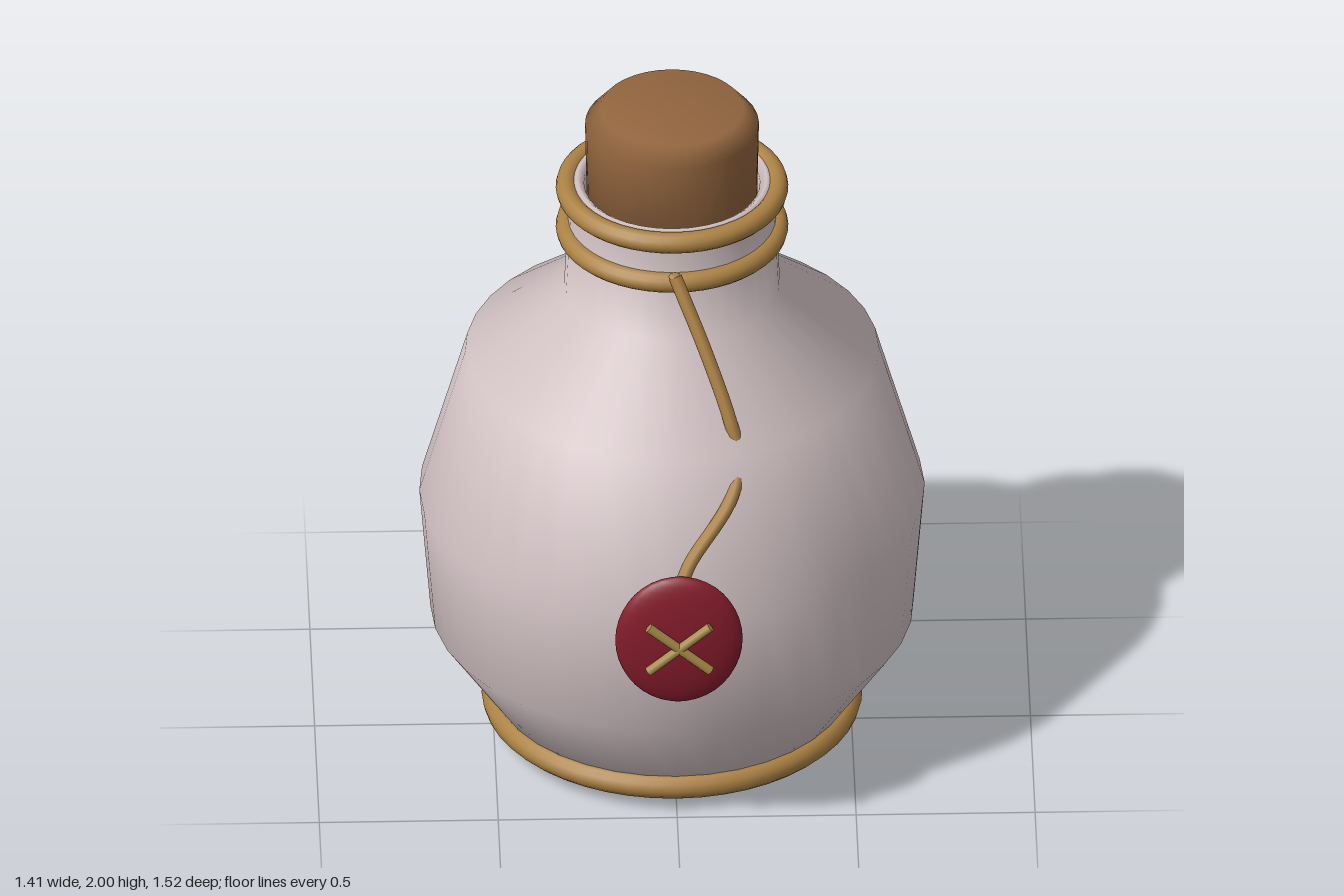
import * as THREE from 'three';

const material = (name, color) => {
  const m = new THREE.MeshStandardMaterial({ color });
  m.name = name;
  return m;
};

export function createModel() {
  const ceramic = material('pale ceramic', 0xd4c4c6);
  const cork = material('cork brown', 0x92653e);
  const rope = material('rope tan', 0xac8244);
  const wax = material('wax red', 0x861c2c);
  const stitch = material('stitch gold', 0xa88b48);

  const model = new THREE.Group();
  model.name = 'corkedBottle';
  const axisZ = -0.052; // bottle axis sits slightly behind the centre

  const add = (name, geometry, mat, x, y, z) => {
    const mesh = new THREE.Mesh(geometry, mat);
    mesh.name = name;
    mesh.position.set(x, y, z);
    model.add(mesh);
    return mesh;
  };
  const lathe = (profile) =>
    new THREE.LatheGeometry(profile.map(([r, y]) => new THREE.Vector2(r, y)), 36);

  // Bottle: rounded base, angular belly, neck and inner lip
  add('bottleBody', lathe([
    [0, 0], [0.22, 0.004], [0.5, 0.1], [0.675, 0.36], [0.706, 0.745], [0.578, 1.2],
    [0.302, 1.42], [0.288, 1.7], [0.284, 1.755], [0.265, 1.77], [0.246, 1.755], [0.238, 1.6],
  ]), ceramic, 0, 0, axisZ);

  // Stopper with a chamfered top
  add('corkStopper', lathe([
    [0, 1.6], [0.236, 1.6], [0.243, 1.95], [0.2, 2.0], [0, 2.0],
  ]), cork, 0, 0, axisZ);

  // Rope rings around the neck and the base
  for (const [name, y, radius, tube] of [
    ['upperNeckRope', 1.742, 0.295, 0.03],
    ['lowerNeckRope', 1.612, 0.295, 0.03],
    ['baseRope', 0.07, 0.495, 0.037],
  ]) {
    const ring = add(name, new THREE.TorusGeometry(radius, tube, 12, 48), rope, 0, y, axisZ);
    ring.rotation.x = Math.PI / 2;
  }

  // Cord hanging from the neck, dipping into the shoulder and out to the seal
  const path = new THREE.CatmullRomCurve3([
    [0, 1.65, 0.275], [0.085, 1.45, 0.362], [0.15, 1.27, 0.435], [0.172, 1.17, 0.468],
    [0.148, 1.08, 0.545], [0.03, 0.93, 0.645], [0, 0.86, 0.68],
  ].map((p) => new THREE.Vector3(...p)));
  add('sealCord', new THREE.TubeGeometry(path, 40, 0.019, 8), rope, 0, 0, 0);
  const cordEnd = add('cordEnd', new THREE.SphereGeometry(0.019, 8, 6), rope, 0, 1.65, 0.275);
  cordEnd.scale.y = 0.5;

  // Wax seal: flattened oval
  const seal = add('waxSeal', new THREE.SphereGeometry(1, 32, 20), wax, 0, 0.713, 0.688);
  seal.scale.set(0.178, 0.205, 0.045);

  // Crossed stitches on the seal
  for (const side of [-1, 1]) {
    const bar = add('crossStitch', new THREE.CylinderGeometry(0.0135, 0.0135, 0.225, 10),
      stitch, 0, 0.715, 0.745);
    bar.rotation.z = side * THREE.MathUtils.degToRad(50);
  }

  return model;
}
